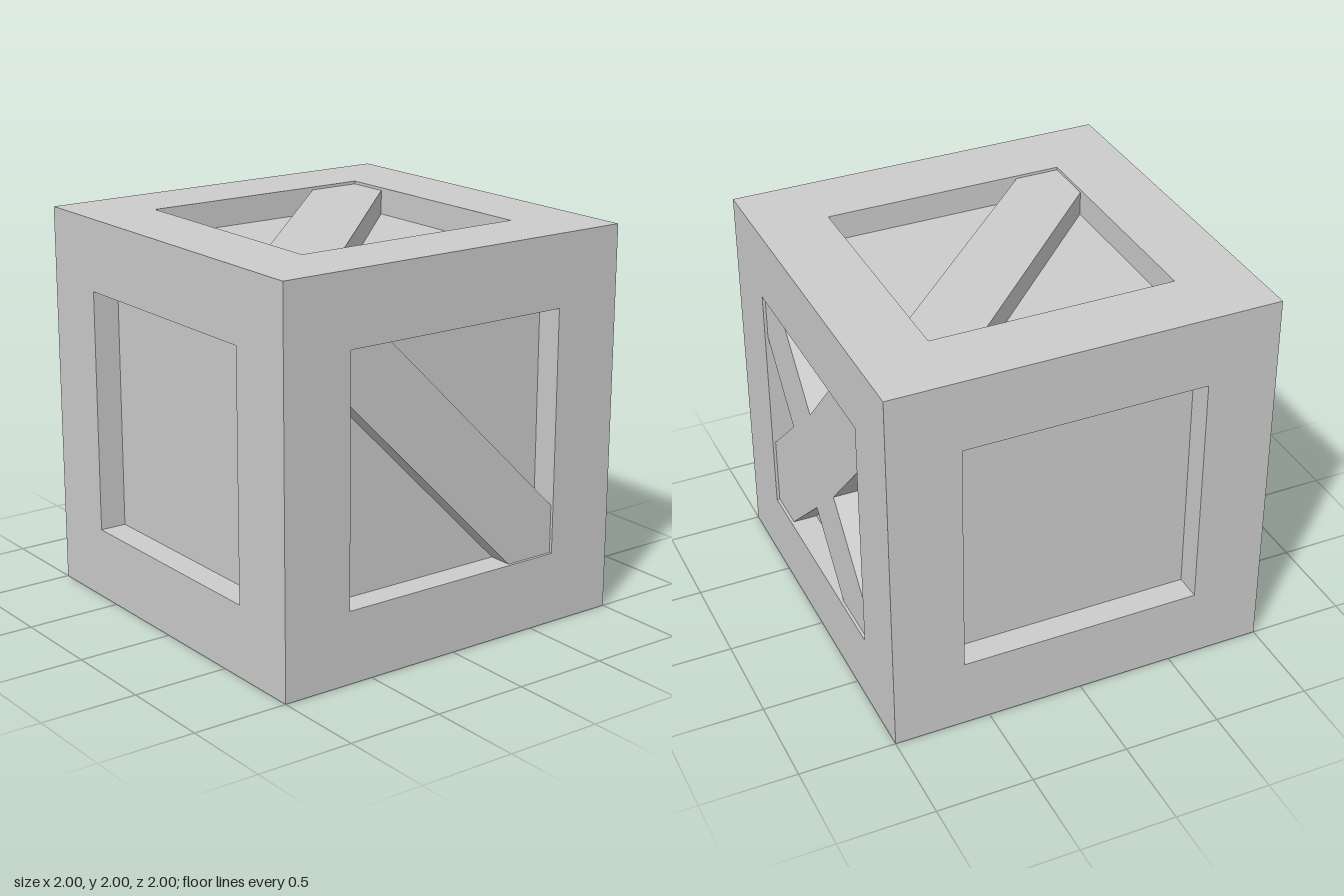
import * as THREE from 'three';

const HALF = 1;        // half the crate's side
const OPEN = 0.63;     // half the opening in each face
const PANEL = 0.86;    // distance of the recessed panels from the centre
const BRACE = 0.985;   // distance of the brace fronts from the centre

export function createModel() {
  const crate = new THREE.Group();
  crate.name = 'crate';
  const material = new THREE.MeshStandardMaterial({ color: 0xcccccc, flatShading: true });

  const add = (parent, name, geometry) => {
    const mesh = new THREE.Mesh(geometry, material);
    mesh.name = name;
    parent.add(mesh);
    return mesh;
  };

  // Inner box: its six sides are the recessed panels
  add(crate, 'panels', new THREE.BoxGeometry(2 * PANEL, 2 * PANEL, 2 * PANEL)).position.y = HALF;

  // Frame: full-height posts with rails fitted between them
  const frame = new THREE.Group();
  frame.name = 'frame';
  frame.position.y = HALF;
  crate.add(frame);
  const w = HALF - OPEN;
  const c = (HALF + OPEN) / 2;
  for (const a of [-c, c]) {
    for (const b of [-c, c]) {
      add(frame, 'post', new THREE.BoxGeometry(w, 2 * HALF, w)).position.set(a, 0, b);
      add(frame, 'crossRail', new THREE.BoxGeometry(2 * OPEN, w, w)).position.set(0, a, b);
      add(frame, 'sideRail', new THREE.BoxGeometry(w, w, 2 * OPEN)).position.set(a, b, 0);
    }
  }

  // Braces: outlines cut to the opening, extruded from panel to just below the frame
  const addBrace = (name, points, rx, ry) => {
    const shape = new THREE.Shape(points.map(([x, y]) => new THREE.Vector2(x, y)));
    const geometry = new THREE.ExtrudeGeometry(shape, { depth: BRACE - PANEL, bevelEnabled: false });
    geometry.translate(0, 0, PANEL);
    const mesh = add(crate, name, geometry);
    mesh.rotation.set(rx, ry, 0);
    mesh.position.y = HALF;
  };
  const o = OPEN;

  addBrace('frontBrace', [
    [-o, 0.37], [0.36, -o], [o, -o], [o, -0.38], [-0.39, o], [-o, o],
  ], 0, 0);

  addBrace('topBrace', [
    [-o, -0.36], [-o, -o], [-0.4, -o], [o, 0.4], [o, o], [0.35, o],
  ], -Math.PI / 2, 0);

  addBrace('sideCrossBrace', [
    [-o, o], [-o, 0.39], [-0.31, 0.04], [-o, -0.26],
    [-o, -o], [-0.41, -o], [-0.02, -0.27], [0.31, -o],
    [o, -o], [o, -0.445], [0.24, -0.03], [o, 0.39],
    [o, o], [0.28, o], [-0.04, 0.28], [-0.37, o],
  ], 0, Math.PI / 2);

  return crate;
}
